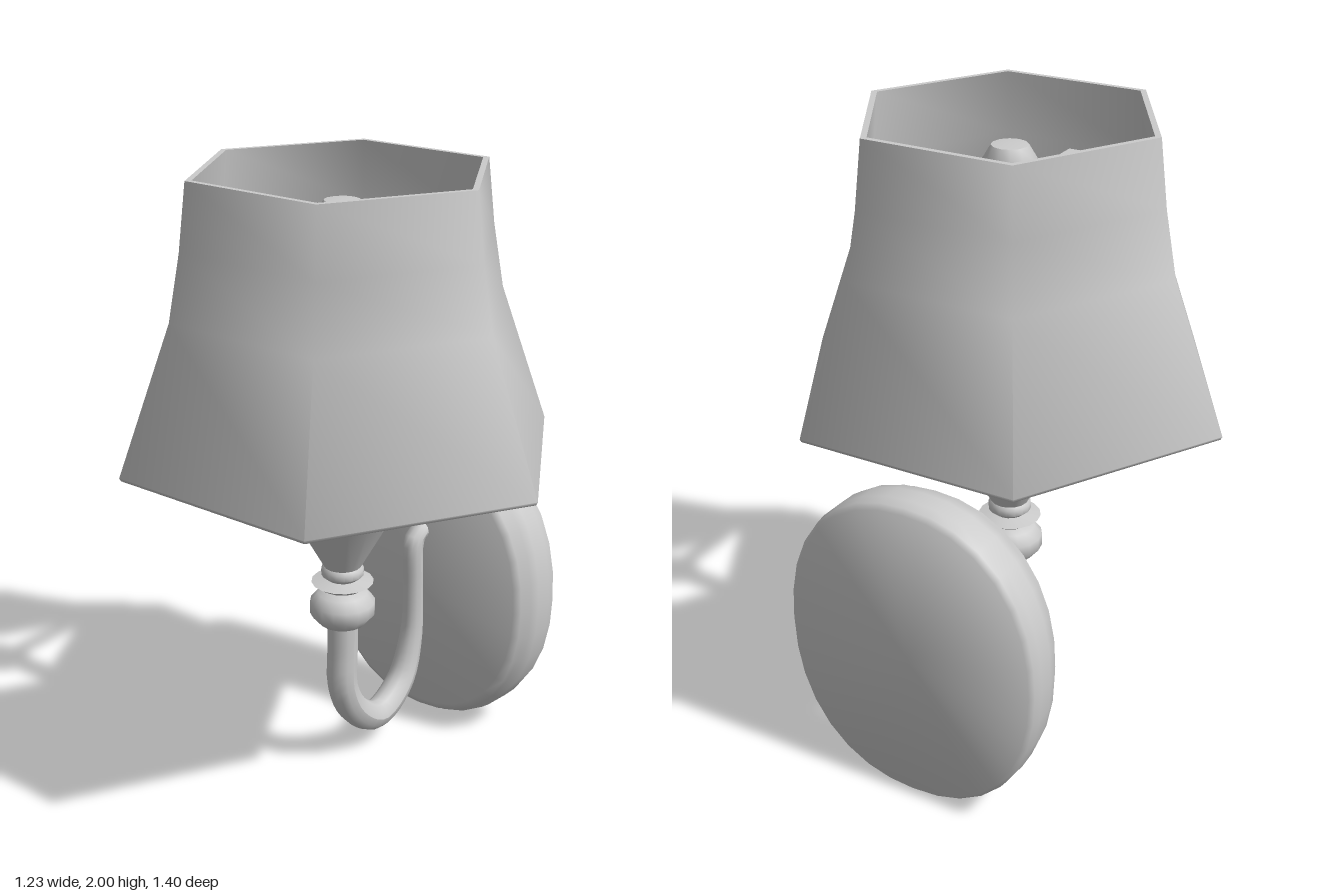
import * as THREE from 'three';
import { toCreasedNormals } from 'three/addons/utils/BufferGeometryUtils.js';

const AXIS = -0.01; // x of the vertical lamp axis
const material = new THREE.MeshStandardMaterial({ color: 0xcccccc });

function part(name, geometry, x = 0, y = 0, z = 0) {
  const mesh = new THREE.Mesh(geometry, material);
  mesh.name = name;
  mesh.position.set(x, y, z);
  return mesh;
}

// Turned part from [radius, height] pairs, listed bottom to top on the outside
function turned(profile, sides, crease) {
  const points = profile.map(([r, y]) => new THREE.Vector2(r, y));
  return toCreasedNormals(new THREE.LatheGeometry(points, sides), crease);
}

// Oval wall plate: a turned disc stretched to a soft superellipse
function wallPlateGeometry() {
  const profile = [
    [0, 0.415], [0.89, 0.415], [0.94, 0.43], [0.95, 0.455], [0.98, 0.465],
    [0.995, 0.5], [1, 0.56], [0.99, 0.595], [0.96, 0.61], [0, 0.612],
  ].map(([r, x]) => new THREE.Vector2(r, x));
  const geometry = new THREE.LatheGeometry(profile, 32);
  const pos = geometry.attributes.position;
  const n = 2.2;
  for (let i = 0; i < pos.count; i++) {
    const x = pos.getX(i), z = pos.getZ(i);
    const r = Math.hypot(x, z);
    if (r < 1e-6) continue;
    const f = Math.pow(Math.abs(x / r) ** n + Math.abs(z / r) ** n, -1 / n);
    pos.setX(i, x * f * 0.512);
    pos.setZ(i, z * f * 0.425);
  }
  geometry.rotateZ(-Math.PI / 2);
  return toCreasedNormals(geometry, 0.9);
}

export function createModel() {
  const model = new THREE.Group();
  model.name = 'wallLamp';

  // Six-sided flared shade with a thin wall
  const shade = turned([
    [0.695, 1.14], [0.70, 1.15], [0.53, 1.60], [0.492, 1.80], [0.467, 2.0],
    [0.447, 2.0], [0.472, 1.80], [0.51, 1.60], [0.675, 1.15], [0.675, 1.14], [0.695, 1.14],
  ], 6, 1.2);
  model.add(part('shade', shade, AXIS));

  // Crossed bars holding the shade
  const bars = new THREE.Group();
  bars.name = 'shadeBars';
  bars.add(part('crossBar', new THREE.BoxGeometry(0.83, 0.04, 0.04), AXIS, 1.76));
  bars.add(part('lengthBar', new THREE.BoxGeometry(0.042, 0.04, 0.96), AXIS, 1.76));
  model.add(bars);

  // Rod and its top knob
  model.add(part('rod', new THREE.CylinderGeometry(0.043, 0.043, 0.84, 12), AXIS, 1.34));
  model.add(part('knob', turned([
    [0, 1.72], [0.075, 1.72], [0.079, 1.74], [0.079, 1.87], [0.055, 1.91], [0, 1.915],
  ], 12, 0.9), AXIS));

  // Cup, collar and bead under the rod
  model.add(part('cup', turned([
    [0.045, 0.53], [0.075, 0.545], [0.105, 0.58], [0.105, 0.62], [0.08, 0.65],
    [0.05, 0.66], [0.07, 0.67], [0.10, 0.69], [0.05, 0.70], [0.068, 0.715],
    [0.068, 0.735], [0.06, 0.745], [0.157, 0.92], [0.166, 0.935], [0.155, 0.942], [0, 0.942],
  ], 16, 0.9), AXIS));

  // Curved arm sweeping down and back up to the plate
  const armPath = new THREE.CatmullRomCurve3([
    [-0.01, 0.57], [-0.01, 0.44], [-0.01, 0.31], [0.05, 0.19], [0.175, 0.11],
    [0.31, 0.18], [0.37, 0.33], [0.378, 0.52], [0.376, 0.68], [0.395, 0.712], [0.44, 0.712],
  ].map(([x, y]) => new THREE.Vector3(x, y, 0)), false, 'centripetal');
  const arm = new THREE.TubeGeometry(armPath, 40, 0.05, 12);
  // Narrow the arm toward the plate
  const pos = arm.attributes.position;
  const centre = new THREE.Vector3();
  const v = new THREE.Vector3();
  for (let i = 0; i < pos.count; i++) {
    const t = Math.floor(i / 13) / 40;
    armPath.getPointAt(t, centre);
    const s = 1 - 0.32 * THREE.MathUtils.smoothstep(t, 0.45, 0.8);
    v.fromBufferAttribute(pos, i).sub(centre).multiplyScalar(s).add(centre);
    pos.setXYZ(i, v.x, v.y, v.z);
  }
  arm.computeVertexNormals();
  model.add(part('arm', arm));

  model.add(part('wallPlate', wallPlateGeometry(), 0, 0.515));
  return model;
}
